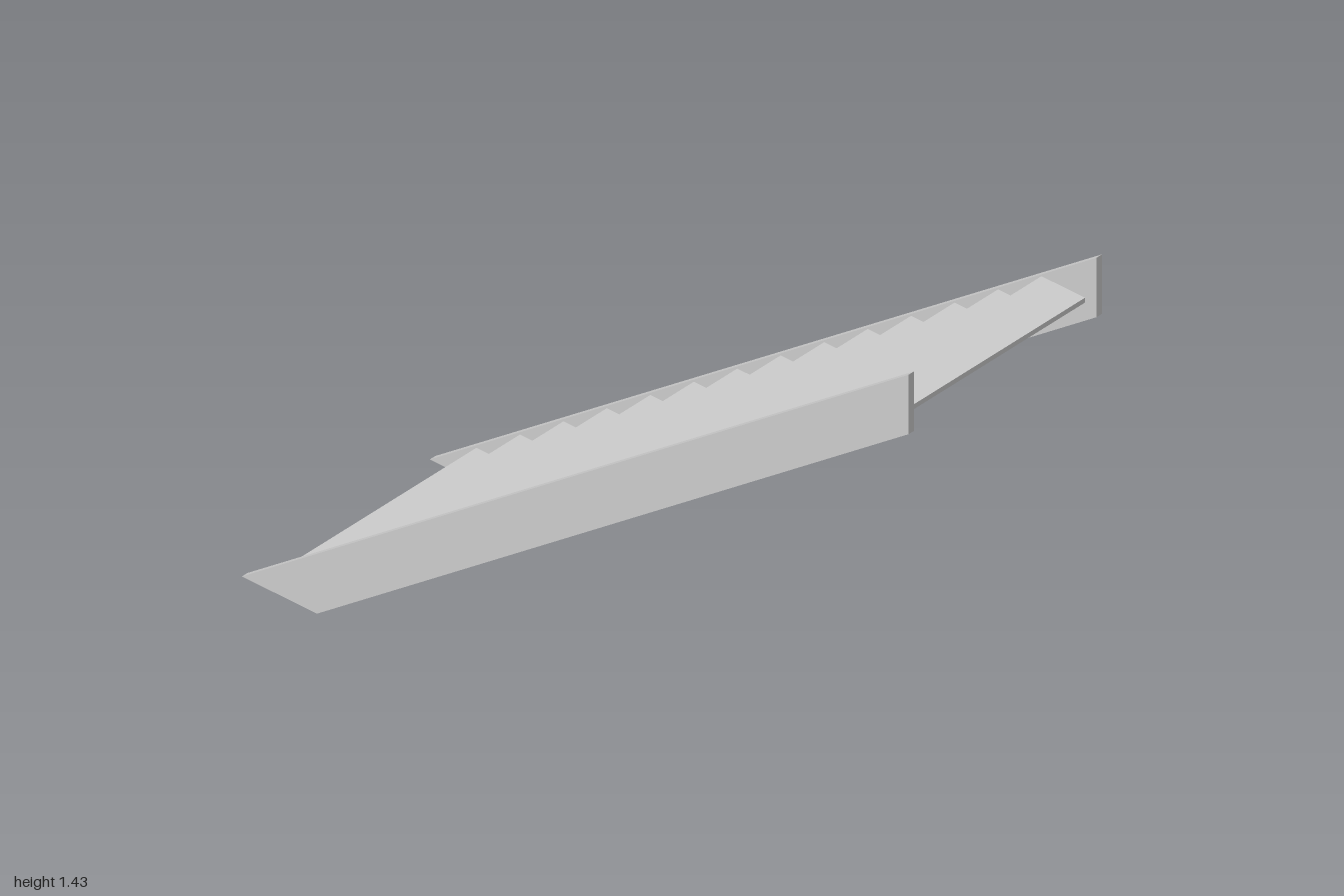
import * as THREE from 'three';

const STEPS = 14, RISE = 0.0937, RUN = 0.1304;
const INNER = 0.306, THICK = 0.019, TREAD = 0.013;

export function createModel() {
  const group = new THREE.Group();
  const mat = new THREE.MeshStandardMaterial({ color: 0xcccccc });

  // Sloping side boards, cut level at the floor and plumb at the top.
  // Shape is drawn as (-z, y), then turned so its depth runs along x.
  const profile = new THREE.Shape([
    [1, 0], [-1, 1.435], [-1, 1.275], [0.775, 0],
  ].map(([a, b]) => new THREE.Vector2(a, b)));
  const board = new THREE.ExtrudeGeometry(profile, { depth: THICK, bevelEnabled: false });
  board.rotateY(Math.PI / 2);
  for (const [name, x] of [['leftStringer', INNER], ['rightStringer', -INNER - THICK]]) {
    const stringer = new THREE.Mesh(board, mat);
    stringer.name = name;
    stringer.position.x = x;
    group.add(stringer);
  }

  // Open treads climbing towards the front
  const treads = new THREE.Group();
  treads.name = 'treads';
  const plank = new THREE.BoxGeometry(INNER * 2, TREAD, RUN);
  for (let i = 0; i < STEPS; i++) {
    const tread = new THREE.Mesh(plank, mat);
    tread.name = `tread${i + 1}`;
    tread.position.set(0, 0.094 + i * RISE - TREAD / 2, -0.86 + (i + 0.5) * RUN);
    treads.add(tread);
  }
  group.add(treads);
  return group;
}
